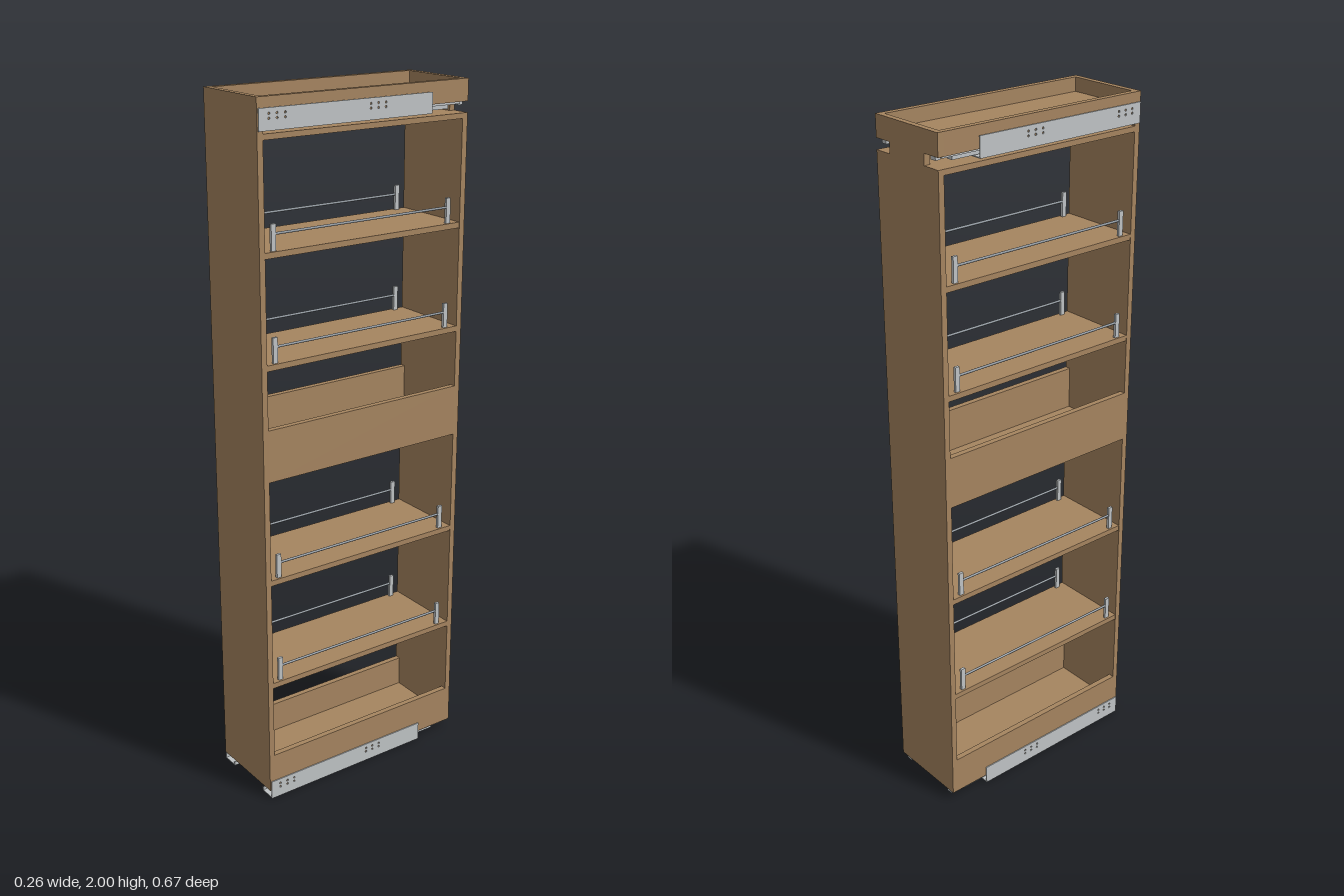
import * as THREE from 'three';

const wood = new THREE.MeshStandardMaterial({ color: 0xa68560 });
wood.name = 'wood';
const steel = new THREE.MeshStandardMaterial({ color: 0xc0c4c6 });
steel.name = 'steel';
const rodSteel = new THREE.MeshStandardMaterial({ color: 0x8a9299 });
rodSteel.name = 'rod steel';

const W = 0.125, D = 0.335, T = 0.017; // half width, half depth, board thickness
const DI = D - T;

function add(parent, name, geometry, material) {
  const mesh = new THREE.Mesh(geometry, material);
  mesh.name = name;
  parent.add(mesh);
  return mesh;
}

// Box given by its limits on each axis
function box(parent, name, material, x0, x1, y0, y1, z0, z1) {
  const m = add(parent, name, new THREE.BoxGeometry(Math.abs(x1 - x0), y1 - y0, z1 - z0), material);
  m.position.set((x0 + x1) / 2, (y0 + y1) / 2, (z0 + z1) / 2);
  return m;
}

// Pair of side boards with a recessed floor between them
function tray(parent, name, y0, y1, floorY) {
  const g = new THREE.Group();
  g.name = name;
  for (const s of [-1, 1]) box(g, 'sideBoard', wood, s * (W - T), s * W, y0, y1, -DI, DI);
  box(g, 'floor', wood, -(W - T), W - T, floorY, floorY + 0.013, -DI, DI);
  parent.add(g);
}

// Shelf with a guard rail along each open side
function shelf(parent, top) {
  const g = new THREE.Group();
  g.name = 'shelf';
  box(g, 'shelfBoard', wood, -W + 0.001, W - 0.001, top - 0.016, top, -DI, DI);
  for (const s of [-1, 1]) {
    const x = s * 0.114;
    for (const z of [-0.283, 0.287])
      box(g, 'railPost', steel, x - 0.004, x + 0.004, top, top + 0.07, z - 0.007, z + 0.007);
    const rod = add(g, 'railRod', new THREE.CylinderGeometry(0.0035, 0.0035, 0.57, 10), rodSteel);
    rod.rotation.x = Math.PI / 2;
    rod.position.set(x, top + 0.044, 0.002);
  }
  parent.add(g);
}

// Perforated slide plate with its foot flange and inner runner
function slide(parent, side, y) {
  const g = new THREE.Group();
  g.name = side > 0 ? 'leftSlide' : 'rightSlide';
  const plate = new THREE.Shape();
  plate.moveTo(-0.332, 0).lineTo(0.21, 0).lineTo(0.21, 0.056).lineTo(-0.332, 0.056).closePath();
  for (const start of [-0.31, 0.0])
    for (let i = 0; i < 3; i++)
      for (const hy of [0.03, 0.042]) {
        const hole = new THREE.Path();
        hole.absarc(start + 0.008 + i * 0.024, hy, 0.0032, 0, Math.PI * 2, true);
        plate.holes.push(hole);
      }
  const geo = new THREE.ExtrudeGeometry(plate, { depth: 0.003, bevelEnabled: false, curveSegments: 5 });
  geo.rotateY(Math.PI / 2);
  geo.translate(side > 0 ? 0.126 : -0.129, 0, 0);
  add(g, 'slidePlate', geo, steel);
  box(g, 'footFlange', steel, side * 0.078, side * 0.127, 0, 0.003, -0.21, 0.332);
  box(g, 'flangeLip', steel, side * 0.078, side * 0.081, 0.003, 0.012, -0.21, 0.332);
  box(g, 'middleRunner', steel, side * 0.088, side * 0.108, 0.005, 0.015, -0.28, 0.3);
  box(g, 'innerRunner', steel, side * 0.084, side * 0.115, 0.016, 0.023, -0.315, 0.315);
  box(g, 'frontCatch', steel, side * 0.052, side * 0.082, 0.012, 0.024, 0.24, 0.31);
  box(g, 'rearHook', steel, side * 0.09, side * 0.108, 0.012, 0.024, -0.33, -0.315);
  g.position.y = y;
  parent.add(g);
}

export function createModel() {
  const model = new THREE.Group();
  model.name = 'pulloutPantry';

  // Tall front panel
  box(model, 'frontPanel', wood, -W, W, 0.025, 2, DI, D);

  // Back panel with a notch at each upper edge for the slides
  const back = new THREE.Shape();
  const outline = [
    [-W, 0.025], [W, 0.025], [W, 1.91], [0.07, 1.91], [0.07, 1.94], [W, 1.94],
    [W, 2], [-W, 2], [-W, 1.94], [-0.07, 1.94], [-0.07, 1.91], [-W, 1.91],
  ];
  back.setFromPoints(outline.map(([x, y]) => new THREE.Vector2(x, y)));
  const backMesh = add(model, 'backPanel', new THREE.ExtrudeGeometry(back, { depth: T, bevelEnabled: false }), wood);
  backMesh.position.z = -D;

  // Top, middle and bottom trays
  tray(model, 'topTray', 1.94, 2, 1.948);
  tray(model, 'middleTray', 0.99, 1.138, 1.0);
  tray(model, 'bottomTray', 0.025, 0.14, 0.035);

  // Fixed board closing the upper compartment
  box(model, 'upperBoard', wood, -W, W, 1.895, 1.91, -DI, DI);

  for (const y of [1.614, 1.317, 0.698, 0.376]) shelf(model, y);

  for (const y of [0, 1.917]) for (const s of [-1, 1]) slide(model, s, y);

  return model;
}
